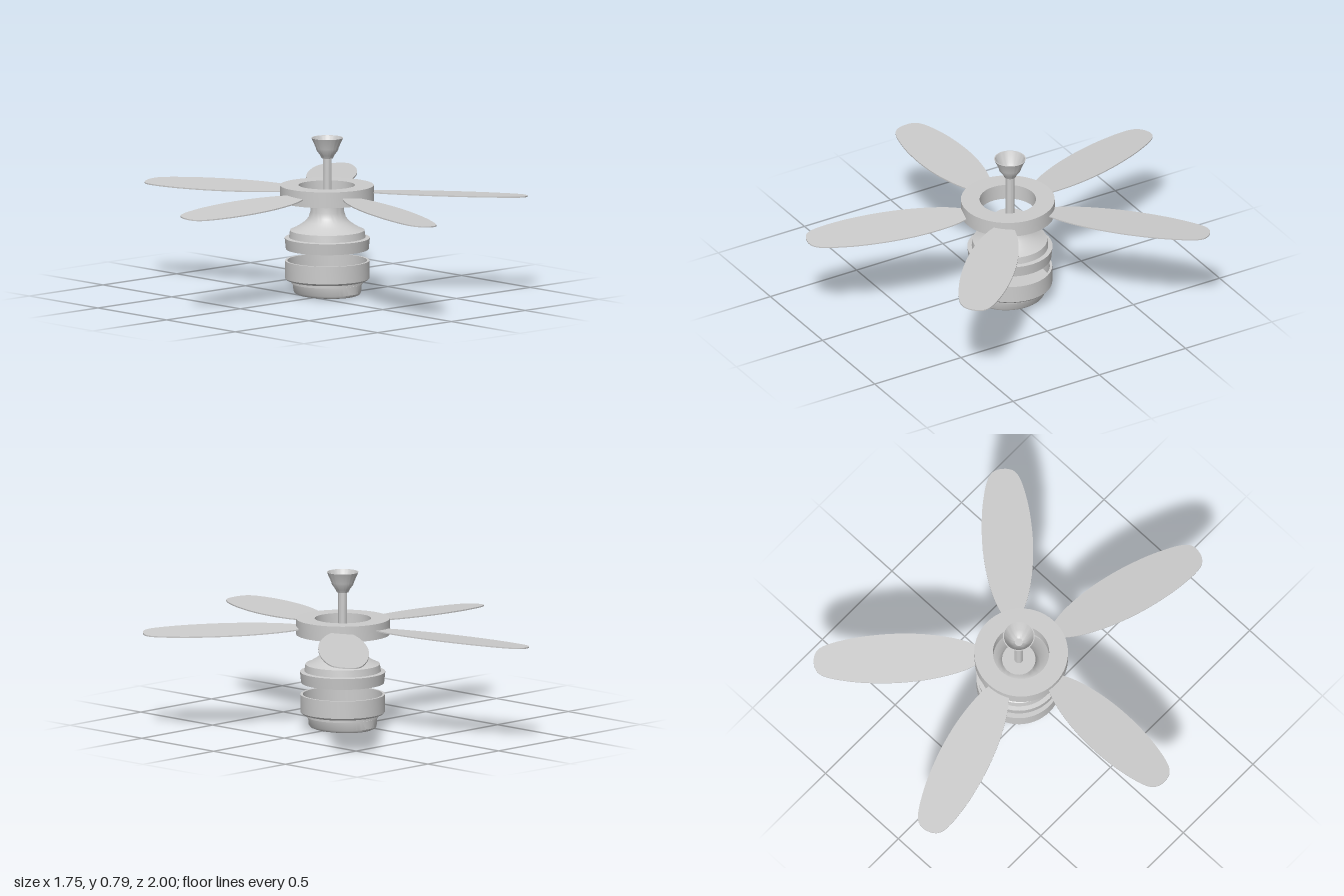
import * as THREE from 'three';
import { toCreasedNormals } from 'three/addons/utils/BufferGeometryUtils.js';

const AXIS_X = 0.109, AXIS_Z = -0.021;
const material = new THREE.MeshStandardMaterial({ color: 0xcccccc, side: THREE.DoubleSide });

function addMesh(parent, name, geometry) {
  const mesh = new THREE.Mesh(toCreasedNormals(geometry, 0.5), material);
  mesh.name = name;
  parent.add(mesh);
  return mesh;
}

// Revolved part from [radius, height] pairs, listed from bottom to top
function lathe(profile) {
  return new THREE.LatheGeometry(profile.map(([r, y]) => new THREE.Vector2(r, y)), 56);
}

// Thin leaf-shaped blade running along +x, pitched and drooping towards the tip
function bladeGeometry(length) {
  const half = [[0, 0.05], [0.08, 0.077], [0.2, 0.102], [0.35, 0.12], [0.52, 0.126],
    [0.7, 0.118], [0.84, 0.1], [0.93, 0.08], [0.975, 0.058], [0.995, 0.03]];
  const upper = half.map(([u, w]) => new THREE.Vector2(u * length, w));
  const lower = half.map(([u, w]) => new THREE.Vector2(u * length, -w)).reverse();
  const shape = new THREE.Shape();
  shape.moveTo(upper[0].x, upper[0].y);
  shape.splineThru(upper.slice(1).concat(new THREE.Vector2(length, 0), lower));
  shape.closePath();
  const geometry = new THREE.ExtrudeGeometry(shape, { depth: 0.006, bevelEnabled: false, curveSegments: 40 });
  geometry.rotateX(-Math.PI / 2);
  const p = geometry.attributes.position;
  for (let i = 0; i < p.count; i++) {
    p.setY(i, p.getY(i) + 0.07 * p.getZ(i) - 0.022 * p.getX(i) / length);
  }
  geometry.computeVertexNormals();
  return geometry;
}

export function createModel() {
  const model = new THREE.Group();
  model.name = 'ceilingFan';

  const column = new THREE.Group();
  column.name = 'centralColumn';
  column.position.set(AXIS_X, 0, AXIS_Z);
  model.add(column);

  // Hollow cup against the ceiling
  addMesh(column, 'ceilingCanopy', lathe([
    [0.02, 0.688], [0.029, 0.688], [0.036, 0.703], [0.054, 0.728], [0.056, 0.738],
    [0.079, 0.79], [0.074, 0.79], [0.052, 0.738], [0.034, 0.71], [0.02, 0.7],
  ]));

  const rod = addMesh(column, 'downRod', new THREE.CylinderGeometry(0.022, 0.022, 0.25, 28));
  rod.position.y = 0.575;

  // Flared motor cover, open underneath
  addMesh(column, 'motorHousing', lathe([
    [0.2, 0.232], [0.206, 0.232], [0.212, 0.288], [0.19, 0.291], [0.185, 0.326],
    [0.165, 0.334], [0.135, 0.352], [0.108, 0.372], [0.092, 0.393], [0.084, 0.42],
    [0.083, 0.456], [0, 0.456],
  ]));

  // Open-topped cup with a rounded lower edge
  addMesh(column, 'lightCup', lathe([
    [0, 0.074], [0.19, 0.074], [0.203, 0.078], [0.21, 0.086], [0.21, 0.174],
    [0.198, 0.174], [0.198, 0.09], [0, 0.09],
  ]));
  addMesh(column, 'lightCollar', lathe([[0.168, 0.06], [0.178, 0.06], [0.178, 0.075]]));

  // Lens narrowing from side to side but straight from front to back
  const lens = lathe([
    [0, 0], [0.1, 0.001], [0.162, 0.004], [0.174, 0.009], [0.179, 0.018], [0.179, 0.06], [0.165, 0.066], [0, 0.066],
  ]);
  const p = lens.attributes.position;
  for (let i = 0; i < p.count; i++) p.setX(i, p.getX(i) * (0.86 + 1.1 * p.getY(i)));
  addMesh(column, 'lightLens', lens);

  // Flat ring carrying the blades
  const ring = addMesh(model, 'bladeRing', lathe([
    [0.14, 0.475], [0.233, 0.475], [0.233, 0.554], [0.14, 0.554], [0.14, 0.475],
  ]));
  ring.position.set(0.1, 0, -0.014);

  // Blades from [root x, root z, tip x, tip z]
  const blades = [
    [-0.12, 0, -0.87, 0],
    [0.052, -0.215, -0.2, -1.0],
    [0.26, -0.165, 0.825, -0.745],
    [0.285, 0.115, 0.85, 0.64],
    [0.055, 0.215, -0.16, 0.995],
  ];
  blades.forEach(([rx, rz, tx, tz], i) => {
    const blade = addMesh(model, `blade${i + 1}`, bladeGeometry(Math.hypot(tx - rx, tz - rz)));
    blade.position.set(rx, 0.512, rz);
    blade.rotation.y = Math.atan2(rz - tz, tx - rx);
  });

  return model;
}
